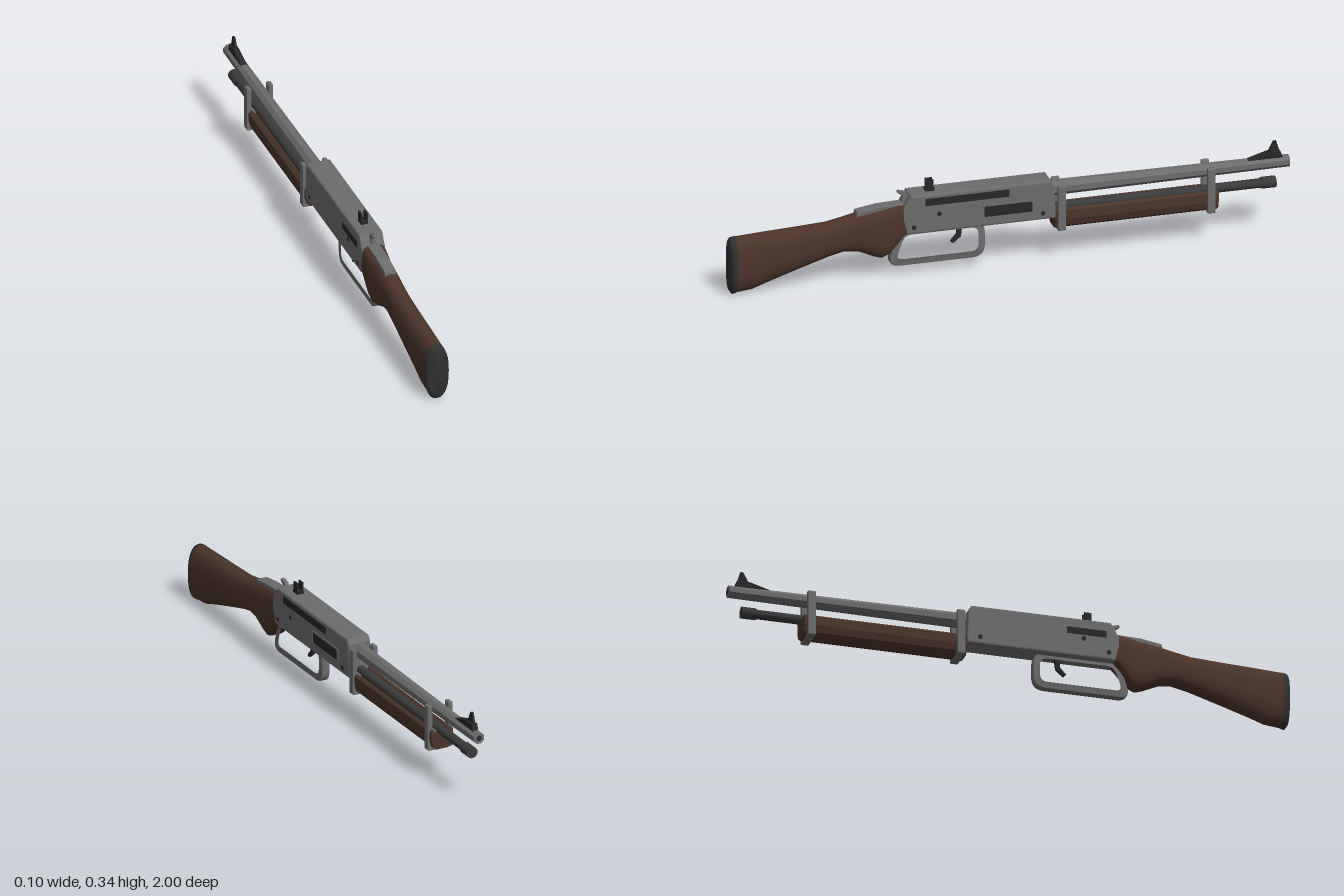
import * as THREE from 'three';
import { toCreasedNormals } from 'three/addons/utils/BufferGeometryUtils.js';

const material = (name, color, side = THREE.FrontSide) => {
  const m = new THREE.MeshStandardMaterial({ color, side });
  m.name = name;
  return m;
};

// Polygon outline with every corner rounded by radius r
function outline(points, r = 0, Type = THREE.Shape) {
  const path = new Type();
  const p = points.map(([x, y]) => new THREE.Vector2(x, y));
  p.forEach((c, i) => {
    const prev = p[(i + p.length - 1) % p.length], next = p[(i + 1) % p.length];
    const toward = (q) => c.clone().add(q.clone().sub(c).setLength(Math.min(r, q.distanceTo(c) / 2)));
    const a = toward(prev), b = toward(next);
    if (i === 0) path.moveTo(a.x, a.y); else path.lineTo(a.x, a.y);
    if (r > 0) path.quadraticCurveTo(c.x, c.y, b.x, b.y);
  });
  path.closePath();
  return path;
}

// Extrusion centred on its depth, outer size kept when bevelled
function extrude(shape, depth, bevel = 0) {
  const g = new THREE.ExtrudeGeometry(shape, {
    depth: depth - 2 * bevel, bevelEnabled: bevel > 0, bevelThickness: bevel,
    bevelSize: bevel, bevelOffset: -bevel, bevelSegments: 2, curveSegments: 6,
  });
  return g.translate(0, 0, -(depth - 2 * bevel) / 2);
}

// Side profile given as (z, y), extruded across x
const sideExtrude = (shape, width, bevel) => extrude(shape, width, bevel).rotateY(-Math.PI / 2);

// Loft of superellipse sections [z, bottom, top, halfWidth, power]
function loft(sections, n = 28) {
  const pos = [], idx = [];
  const soft = (v, e) => Math.sign(v) * Math.pow(Math.abs(v), 2 / e);
  for (const [z, lo, hi, w, e] of sections) {
    for (let j = 0; j < n; j++) {
      const t = (j / n) * Math.PI * 2;
      pos.push(w * soft(Math.cos(t), e), (lo + hi) / 2 + ((hi - lo) / 2) * soft(Math.sin(t), e), z);
    }
  }
  const last = sections.length - 1;
  for (let i = 0; i < last; i++) {
    for (let j = 0; j < n; j++) {
      const a = i * n + j, b = i * n + ((j + 1) % n);
      idx.push(a, b, a + n, b, b + n, a + n);
    }
  }
  for (const i of [0, last]) {
    const [z, lo, hi] = sections[i], c = pos.length / 3;
    pos.push(0, (lo + hi) / 2, z);
    for (let j = 0; j < n; j++) {
      const a = i * n + j, b = i * n + ((j + 1) % n);
      if (i === 0) idx.push(c, b, a); else idx.push(c, a, b);
    }
  }
  const g = new THREE.BufferGeometry();
  g.setAttribute('position', new THREE.Float32BufferAttribute(pos, 3));
  g.setIndex(idx);
  return toCreasedNormals(g, 0.6);
}

// Cylinder along z from z0 to z1
function rod(r0, r1, z0, z1, y, sides = 20) {
  const g = new THREE.CylinderGeometry(r1, r0, Math.abs(z1 - z0), sides, 1, false, Math.PI / sides);
  return toCreasedNormals(g.rotateX(-Math.PI / 2).translate(0, y, (z0 + z1) / 2), 0.6);
}

export function createModel() {
  const model = new THREE.Group();
  const steel = material('steel', 0x6c6c6d);
  const wood = material('wood', 0x4b342a);
  const rubber = material('rubber', 0x303030);
  const black = material('blackened steel', 0x272727);
  const darkSteel = material('dark steel', 0x3a3a3b);
  const add = (name, geometry, mat) => {
    const mesh = new THREE.Mesh(geometry, mat);
    mesh.name = name;
    model.add(mesh);
    return mesh;
  };
  const box = (name, w, h, d, x, y, z, mat) =>
    add(name, new THREE.BoxGeometry(w, h, d).translate(x, y, z), mat);

  // Stock with grip, and its butt pad
  add('stock', loft([
    [0.372, 0.158, 0.262, 0.042, 5], [0.39, 0.14, 0.263, 0.043, 4.5],
    [0.41, 0.113, 0.262, 0.043, 4], [0.432, 0.086, 0.26, 0.043, 3.5],
    [0.458, 0.072, 0.257, 0.042, 3], [0.485, 0.08, 0.253, 0.041, 2.8],
    [0.54, 0.105, 0.245, 0.039, 2.6], [0.59, 0.111, 0.234, 0.038, 2.5],
    [0.65, 0.097, 0.223, 0.039, 2.4], [0.76, 0.063, 0.217, 0.041, 2.4],
    [0.86, 0.031, 0.213, 0.042, 2.4], [0.92, 0.01, 0.21, 0.043, 2.4],
    [0.978, 0.004, 0.207, 0.043, 2.4],
  ]), wood);
  add('buttPad', loft([
    [0.978, 0.002, 0.208, 0.0435, 2.4], [0.992, 0, 0.206, 0.043, 2.4],
    [0.996, 0.006, 0.203, 0.039, 2.4], [1, 0.013, 0.197, 0.034, 2.4],
  ]), rubber);

  // Receiver, tang and hammer
  add('receiver', sideExtrude(outline([
    [0.375, 0.158], [0.392, 0.215], [0.388, 0.25], [0.358, 0.3],
    [-0.14, 0.3], [-0.152, 0.28], [-0.158, 0.158],
  ]), 0.087, 0.007), steel);
  add('tang', sideExtrude(outline([
    [0.55, 0.238], [0.545, 0.253], [0.47, 0.265], [0.38, 0.268], [0.38, 0.235],
  ]), 0.042, 0.003), steel);
  add('hammer', sideExtrude(outline([
    [0.35, 0.26], [0.385, 0.26], [0.383, 0.292], [0.4, 0.305], [0.396, 0.312], [0.368, 0.305],
  ]), 0.015, 0.002), steel);

  // Receiver side details
  box('boltSlot', 0.004, 0.026, 0.3, 0.0435, 0.273, 0.16, black);
  box('leftSlot', 0.004, 0.024, 0.14, -0.0435, 0.252, 0.27, black);
  const frame = outline([[0.108, 0.187], [0.108, 0.24], [-0.08, 0.24], [-0.08, 0.187]], 0.012);
  frame.holes.push(outline([[0.1, 0.194], [0.1, 0.233], [-0.072, 0.233], [-0.072, 0.194]], 0.008, THREE.Path));
  add('loadingPortFrame', sideExtrude(frame, 0.008).translate(0.0425, 0, 0), steel);
  box('loadingPort', 0.004, 0.042, 0.176, 0.043, 0.2135, 0.014, black);
  for (const [z, y] of [[0.26, 0.226], [0.35, 0.185], [-0.11, 0.183]]) {
    const pin = new THREE.CylinderGeometry(0.008, 0.008, 0.092, 12).rotateZ(Math.PI / 2);
    add('receiverPin', pin.translate(0, y, z), black);
  }

  // Lever loop and trigger
  const loop = outline([[0.395, 0.168], [0.438, 0.035], [0.088, 0.035], [0.088, 0.168]], 0.045);
  loop.holes.push(outline([[0.378, 0.15], [0.411, 0.056], [0.109, 0.056], [0.109, 0.15]], 0.03, THREE.Path));
  add('leverLoop', toCreasedNormals(sideExtrude(loop, 0.03, 0.003), 0.6), steel);
  add('trigger', sideExtrude(outline([
    [0.185, 0.165], [0.186, 0.125], [0.208, 0.1], [0.2, 0.092], [0.172, 0.115], [0.165, 0.165],
  ]), 0.014, 0.002), black);

  // Barrel and magazine tube
  add('barrel', rod(0.0275, 0.0215, -0.14, -1, 0.256, 8), steel);
  add('muzzleBore', new THREE.CircleGeometry(0.01, 16).rotateY(Math.PI).translate(0, 0.256, -1.0005), black);
  add('magazineTube', rod(0.0165, 0.0165, -0.14, -0.94, 0.183), darkSteel);
  add('magazineCap', rod(0.0205, 0.0205, -0.9, -0.952, 0.183), darkSteel);

  // Wooden forend with a trough for the tube
  const forend = outline([
    [-0.022, 0.115], [0.022, 0.115], [0.036, 0.126], [0.043, 0.15], [0.043, 0.182],
    [0.034, 0.19], [0.018, 0.176], [-0.018, 0.176], [-0.034, 0.19], [-0.043, 0.182],
    [-0.043, 0.15], [-0.036, 0.126],
  ]);
  add('forend', extrude(forend, 0.585, 0.004).translate(0, 0, -0.447), wood);

  // Two U-shaped bands holding the forend
  const band = outline([
    [-0.049, 0.11], [0.049, 0.11], [0.049, 0.278], [0.031, 0.278], [0.031, 0.182],
    [-0.031, 0.182], [-0.031, 0.278], [-0.049, 0.278],
  ], 0.008);
  for (const z of [-0.178, -0.712]) {
    add('forendBand', extrude(band, 0.028, 0.003).translate(0, 0, z), steel);
  }

  // Sights
  box('rearSightBase', 0.025, 0.012, 0.032, 0, 0.304, 0.284, black);
  for (const s of [-1, 1]) box('rearSightProng', 0.006, 0.042, 0.026, s * 0.0095, 0.32, 0.284, black);
  add('frontSightRamp', sideExtrude(outline([
    [-0.83, 0.27], [-0.925, 0.298], [-0.968, 0.298], [-0.978, 0.27],
  ]), 0.022, 0.002), black);
  add('frontSightPost', sideExtrude(outline([
    [-0.922, 0.29], [-0.945, 0.334], [-0.955, 0.334], [-0.968, 0.29],
  ]), 0.008), black);

  return model;
}
